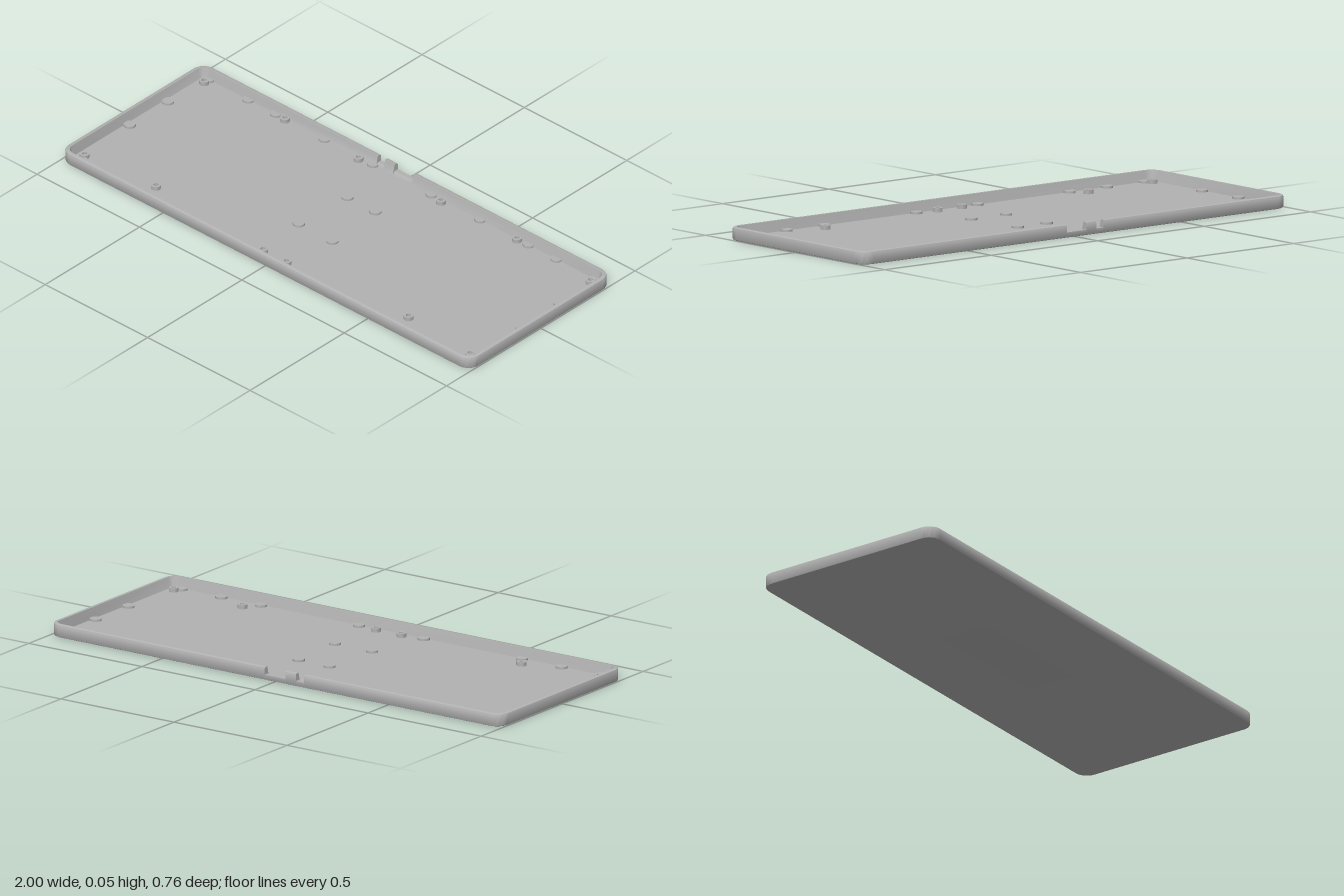
import * as THREE from 'three';
import { toCreasedNormals } from 'three/addons/utils/BufferGeometryUtils.js';

const W = 1, D = 0.38, H = 0.048, R = 0.05, FLOOR = 0.009, NOTCH_Y = 0.02;

// Wall section as [inset from the outer edge, height]; null is the centre of the plate
const SECTION = [
  [null, 0], [0.006, 0], [0.002, 0.002], [0, 0.006],
  [0, H - 0.006], [0.002, H - 0.002], [0.006, H],
  [0.016, H], [0.026, FLOOR], [null, FLOOR],
];

// Columns round the rounded rectangle: centre, outward direction and height limit
function trayColumns() {
  const cols = [];
  const corners = [[1, 1], [-1, 1], [-1, -1], [1, -1]];
  corners.forEach(([sx, sz], k) => {
    for (let i = 0; i <= 8; i++) {
      const a = (k + i / 8) * Math.PI / 2;
      cols.push({ x: sx * (W - R), z: sz * (D - R), dx: Math.cos(a), dz: Math.sin(a), top: H });
    }
    // Two cable notches in the back wall
    if (k === 2) {
      for (const [x0, x1] of [[-0.13, -0.095], [-0.048, 0.043]]) {
        for (const [x, top] of [[x0, H], [x0, NOTCH_Y], [x1, NOTCH_Y], [x1, H]]) {
          cols.push({ x, z: -(D - R), dx: 0, dz: -1, top });
        }
      }
    }
  });
  return cols;
}

function trayGeometry() {
  const cols = trayColumns();
  const point = (c, [inset, y]) => inset === null
    ? new THREE.Vector3(0, y, 0)
    : new THREE.Vector3(c.x + c.dx * (R - inset), Math.min(y, c.top), c.z + c.dz * (R - inset));
  const pos = [];
  const tri = (a, b, c) => {
    const area = b.clone().sub(a).cross(c.clone().sub(a)).length();
    if (area > 1e-9) for (const p of [a, b, c]) pos.push(p.x, p.y, p.z);
  };
  cols.forEach((c, j) => {
    const n = cols[(j + 1) % cols.length];
    for (let i = 0; i < SECTION.length - 1; i++) {
      const a = point(c, SECTION[i]), b = point(c, SECTION[i + 1]);
      const d = point(n, SECTION[i]), e = point(n, SECTION[i + 1]);
      tri(a, b, d);
      tri(b, e, d);
    }
  });
  const g = new THREE.BufferGeometry();
  g.setAttribute('position', new THREE.Float32BufferAttribute(pos, 3));
  return toCreasedNormals(g, 0.6);
}

export function createModel() {
  const model = new THREE.Group();
  model.name = 'tray';
  const grey = new THREE.MeshStandardMaterial({ color: 0xb2b2b2 });
  grey.name = 'plain grey';

  const add = (name, geometry, x = 0, y = 0, z = 0) => {
    const m = new THREE.Mesh(geometry, grey);
    m.name = name;
    m.position.set(x, y, z);
    model.add(m);
  };

  add('shell', trayGeometry());

  // Low round support pads, mirrored left and right
  const pad = new THREE.CylinderGeometry(0.022, 0.022, 0.01, 32);
  const pads = [
    [0.945, -0.353], [0.752, -0.353], [0.617, -0.353], [0.38, -0.353], [0.143, -0.353],
    [0.957, -0.148], [0.957, 0.055],
    [0.928, 0.342], [0.752, 0.342], [0.577, 0.342], [0.143, 0.342],
    [0.068, -0.135], [0.082, 0.108],
  ];

  // Hollow screw posts, closed at the floor
  const post = toCreasedNormals(new THREE.LatheGeometry([
    [0.018, 0], [0.018, 0.015], [0.009, 0.015], [0.009, 0.001], [0, 0.001],
  ].map(([r, y]) => new THREE.Vector2(r, y)), 24), 0.6);
  const posts = [
    [0.943, -0.325], [0.567, -0.345], [0.202, -0.338],
    [0.617, 0.285], [0.057, 0.325], [0.941, 0.312],
  ];

  for (const s of [-1, 1]) {
    for (const [x, z] of pads) add('supportPad', pad, s * x, FLOOR + 0.003, z);
    for (const [x, z] of posts) add('screwPost', post, s * x, FLOOR, z);
  }
  return model;
}
